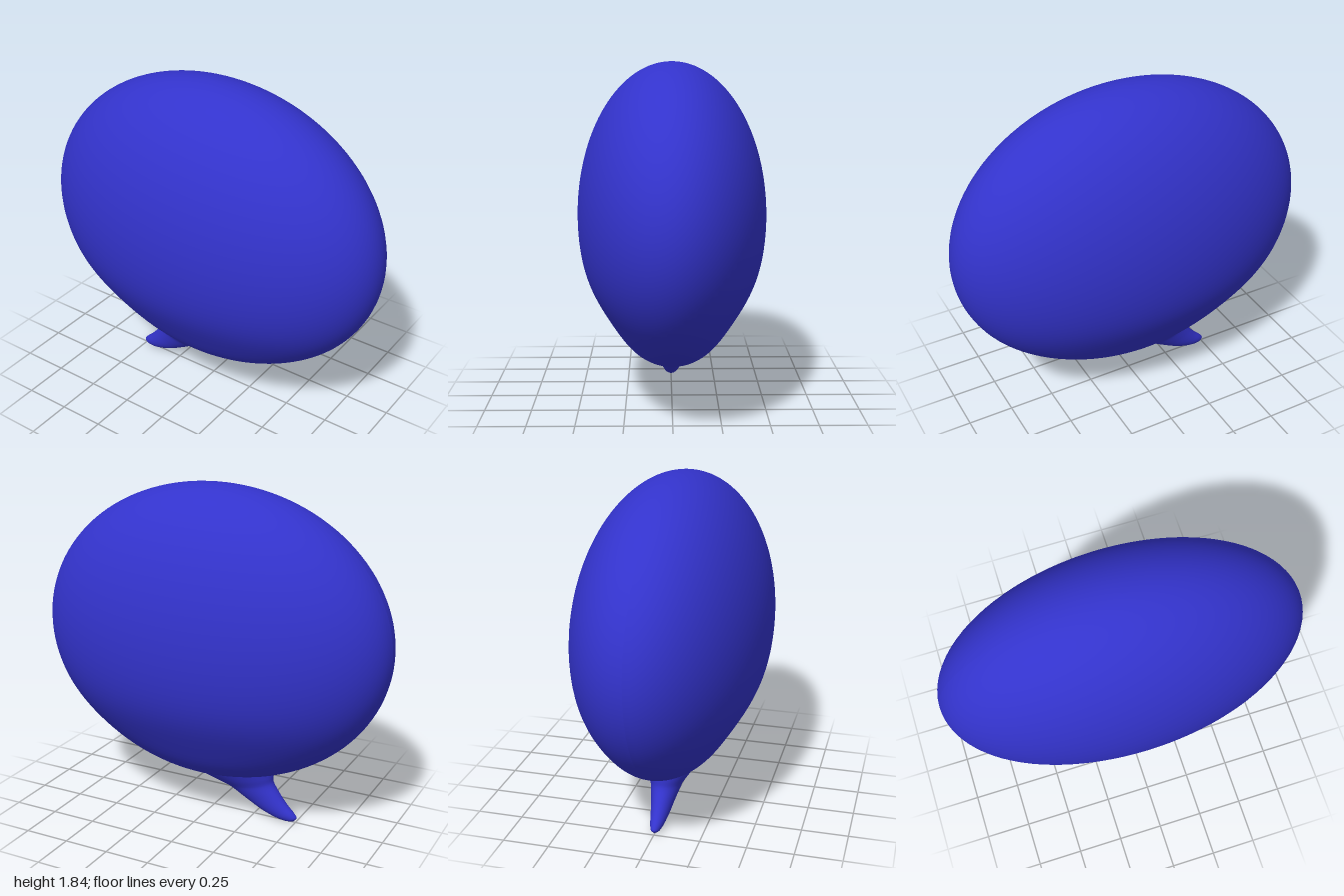
import * as THREE from 'three';

const material = new THREE.MeshStandardMaterial({ color: 0x3333cc });

// Flattened balloon, slightly pinched in depth near the bottom
function makeBalloon() {
  const geo = new THREE.SphereGeometry(1, 96, 64);
  const p = geo.attributes.position;
  for (let i = 0; i < p.count; i++) {
    const y = 1.03 + p.getY(i) * 0.81;
    const pinch = 1 - 0.09 * Math.exp(-(((y - 0.42) / 0.2) ** 2));
    p.setXYZ(i, p.getX(i), y, p.getZ(i) * 0.503 * pinch);
  }
  geo.computeVertexNormals();
  const mesh = new THREE.Mesh(geo, material);
  mesh.name = 'balloon';
  return mesh;
}

// Curved tail lofted through elliptical sections: left x,y, right x,y, half depth
function makeTail() {
  const sections = [
    [-0.35, 0.31, 0.10, 0.235, 0.15],
    [-0.355, 0.25, 0.00, 0.200, 0.115],
    [-0.36, 0.21, -0.10, 0.160, 0.085],
    [-0.40, 0.15, -0.20, 0.100, 0.064],
    [-0.45, 0.09, -0.30, 0.045, 0.048],
    [-0.49, 0.052, -0.38, 0.015, 0.035],
    [-0.505, 0.03, -0.44, 0.004, 0.022],
    [-0.488, 0.008, -0.488, 0.008, 0],
  ];
  const curve = (f) => new THREE.CatmullRomCurve3(sections.map(f));
  const left = curve(([x, y]) => new THREE.Vector3(x, y, 0));
  const right = curve((s) => new THREE.Vector3(s[2], s[3], 0));
  const depth = curve((s) => new THREE.Vector3(s[4], 0, 0));
  const rows = 42, sides = 40, pos = [], index = [];
  for (let r = 0; r <= rows; r++) {
    const a = left.getPoint(r / rows), b = right.getPoint(r / rows);
    const w = depth.getPoint(r / rows).x;
    for (let s = 0; s < sides; s++) {
      const t = (s / sides) * Math.PI * 2;
      const c = a.clone().lerp(b, 0.5 + 0.5 * Math.cos(t));
      pos.push(c.x, c.y, w * Math.sin(t));
      if (r === rows) continue;
      const i = r * sides + s, j = r * sides + (s + 1) % sides;
      index.push(i, j, i + sides, j, j + sides, i + sides);
    }
  }
  const geo = new THREE.BufferGeometry();
  geo.setAttribute('position', new THREE.Float32BufferAttribute(pos, 3));
  geo.setIndex(index);
  geo.computeVertexNormals();
  const mesh = new THREE.Mesh(geo, material);
  mesh.name = 'tail';
  return mesh;
}

export function createModel() {
  const group = new THREE.Group();
  group.name = 'speechBubble';
  group.add(makeBalloon(), makeTail());
  return group;
}
